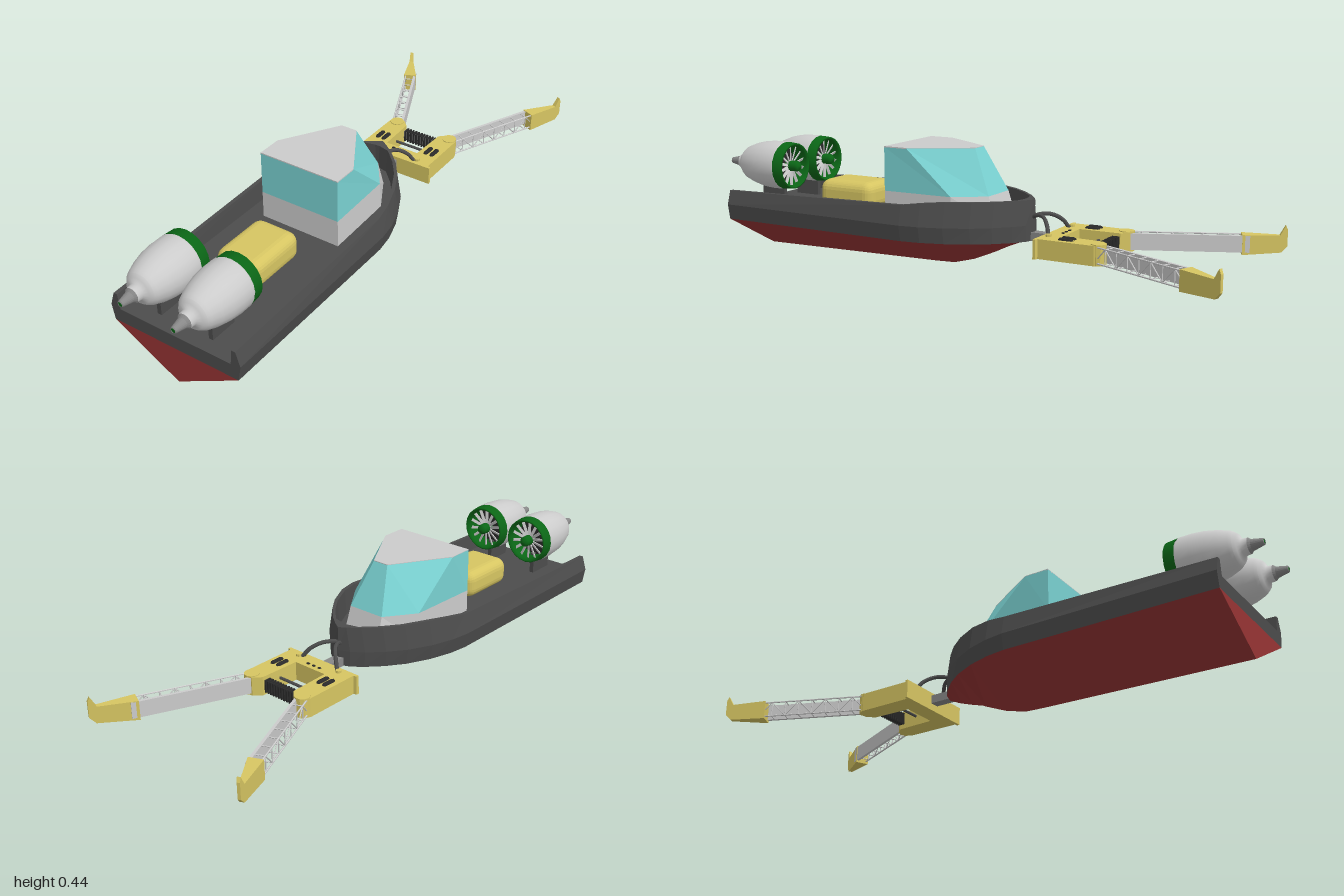
import * as THREE from 'three';
import { RoundedBoxGeometry } from 'three/addons/geometries/RoundedBoxGeometry.js';

const mat = (color, flatShading = true) =>
  new THREE.MeshStandardMaterial({ color, flatShading, side: THREE.DoubleSide });
const M = {
  grey: mat(0xcccccc), smoothGrey: mat(0xcccccc, false), dark: mat(0x4c4c4c), red: mat(0x973434),
  teal: mat(0x7ad2d2), yellow: mat(0xd6c562), green: mat(0x0b6616, false), steel: mat(0x888888), black: mat(0x2a2a2a),
};

function add(parent, name, geo, material, x = 0, y = 0, z = 0) {
  const m = new THREE.Mesh(geo, material);
  m.name = name;
  m.position.set(x, y, z);
  parent.add(m);
  return m;
}
const box = (w, h, d) => new THREE.BoxGeometry(w, h, d);

// Skin closed rings of [x, y, z]; cap the first ring, flattened by project
function loft(rings, project) {
  const pos = [];
  const tri = (...pts) => pts.forEach((p) => pos.push(...p));
  for (let i = 0; i < rings.length - 1; i++) {
    const n = rings[i].length;
    for (let j = 0; j < n; j++) {
      const a = rings[i][j], b = rings[i][(j + 1) % n], c = rings[i + 1][(j + 1) % n], d = rings[i + 1][j];
      tri(a, d, c);
      tri(a, c, b);
    }
  }
  if (project) {
    const flat = rings[0].map((p) => new THREE.Vector2(...project(p)));
    for (const f of THREE.ShapeUtils.triangulateShape(flat, [])) tri(...f.map((k) => rings[0][k]));
  }
  const g = new THREE.BufferGeometry();
  g.setAttribute('position', new THREE.Float32BufferAttribute(pos, 3));
  g.computeVertexNormals();
  return g;
}

// Round bar between two points
function bar(parent, name, a, b, r, material) {
  const path = new THREE.LineCurve3(new THREE.Vector3(...a), new THREE.Vector3(...b));
  return add(parent, name, new THREE.TubeGeometry(path, 1, r, 6), material);
}

function hull() {
  const g = new THREE.Group();
  g.name = 'hull';
  // z, half width, keel height, rail height
  const stations = [
    [0.9, 0.25, 0.002, 0.24], [0.15, 0.25, 0.017, 0.258], [0.08, 0.24, 0.02, 0.268], [0, 0.215, 0.042, 0.275],
    [-0.08, 0.175, 0.076, 0.275], [-0.14, 0.13, 0.105, 0.275], [-0.19, 0.08, 0.126, 0.275],
    [-0.22, 0.04, 0.133, 0.275], [-0.235, 0, 0.135, 0.275],
  ];
  const xy = (p) => [p[0], p[1]];
  const bottom = stations.map(([z, w, k]) => [[0, k, z], [w * 0.96, 0.135, z], [-w * 0.96, 0.135, z]]);
  add(g, 'lowerHull', loft(bottom, xy), M.red);
  const upper = stations.map(([z, w, , rail]) => {
    const inset = (d) => Math.max(0, w - d);
    const zi = Math.max(z, -0.2);
    const half = [[w * 0.96, 0.135, z], [w, 0.19, z], [inset(0.016), rail, z],
      [inset(0.03), rail, zi], [inset(0.036), 0.185, zi]];
    return [...half, ...half.map(([x, y, zz]) => [-x, y, zz]).reverse()];
  });
  add(g, 'upperHullAndDeck', loft(upper, xy), M.dark);
  return g;
}

function cabin() {
  const g = new THREE.Group();
  g.name = 'cabin';
  const ring = (y, half) => [...half, ...half.map(([x, z]) => [-x, z]).reverse()].map(([x, z]) => [x, y, z]);
  const roof = [[0.152, 0.27], [0.152, 0.18], [0.03, -0.02]];
  const sill = [[0.152, 0.27], [0.145, 0.01], [0.07, -0.095]];
  const foot = [[0.152, 0.27], [0.145, 0.0], [0.075, -0.125]];
  const top = (p) => [p[0], -p[2]];
  add(g, 'windows', loft([ring(0.436, roof), ring(0.283, sill)]), M.teal);
  add(g, 'cabinBase', loft([ring(0.283, sill), ring(0.185, foot)], top), M.grey);
  add(g, 'roof', loft([ring(0.438, roof), ring(0.434, roof)], top), M.grey);
  return g;
}

function engine(x) {
  const g = new THREE.Group();
  g.name = 'engine';
  g.position.set(x, 0.327, 0);
  const turn = (name, profile, material) => add(g, name,
    new THREE.LatheGeometry(profile.map(([r, z]) => new THREE.Vector2(r, z)), 20).rotateX(Math.PI / 2), material);
  turn('intakeRing', [[0.07, 0.77], [0.073, 0.71], [0.078, 0.7], [0.084, 0.702], [0.087, 0.74]], M.green);
  turn('nacelle', [[0.084, 0.738], [0.088, 0.745], [0.088, 0.79], [0.084, 0.83], [0.075, 0.87], [0.062, 0.905],
    [0.055, 0.915]], M.smoothGrey);
  turn('tailCone', [[0.055, 0.915], [0.046, 0.925], [0.028, 0.932], [0.026, 0.952]], M.smoothGrey);
  turn('nozzle', [[0.026, 0.952], [0.019, 0.96], [0.011, 0.998], [0.008, 1]], M.steel);
  turn('nozzleCore', [[0.009, 0.998], [0, 0.999]], M.green);
  turn('intakeBack', [[0.075, 0.765], [0, 0.765]], M.black);
  turn('fanHub', [[0, 0.68], [0.013, 0.683], [0.019, 0.692], [0.02, 0.735]], M.green);
  for (let i = 0; i < 14; i++) {
    const blade = box(0.011, 0.056, 0.003).rotateY(0.5).translate(0, 0.045, 0.722).rotateZ((i * Math.PI) / 7);
    add(g, 'fanBlade', blade, M.grey);
  }
  add(g, 'pylon', box(0.016, 0.08, 0.1), M.dark, 0, -0.103, 0.8);
  return g;
}

function gripperArm(s) {
  const g = new THREE.Group();
  g.name = s > 0 ? 'leftArm' : 'rightArm';
  g.position.set(s * 0.115, 0, -0.52);
  g.rotation.y = -s * 0.42;
  add(g, 'pivot', new THREE.CylinderGeometry(0.026, 0.026, 0.068, 12), M.yellow, 0, 0.145, 0);
  add(g, 'innerPanel', box(0.01, 0.056, 0.4), M.grey, -s * 0.018, 0.145, -0.2);
  // Open lattice on the outer side, tied to the panel by rungs
  const xo = s * 0.018, xi = -s * 0.018, n = 8;
  for (const y of [0.119, 0.171]) {
    bar(g, 'chord', [xo, y, 0], [xo, y, -0.4], 0.003, M.grey);
    for (let i = 0; i <= n; i++) bar(g, 'rung', [xi, y, -i * 0.05], [xo, y, -i * 0.05], 0.002, M.grey);
  }
  for (let i = 0; i < n; i++) {
    const up = i % 2 ? 0.171 : 0.119;
    bar(g, 'upright', [xo, 0.119, -i * 0.05], [xo, 0.171, -i * 0.05], 0.002, M.grey);
    bar(g, 'brace', [xo, up, -i * 0.05], [xo, 0.29 - up, -(i + 1) * 0.05], 0.002, M.grey);
  }
  // Claw: side profile with a raised tooth, narrowing to its tip
  const side = new THREE.Shape([[0.375, 0.109], [0.505, 0.114], [0.525, 0.135], [0.525, 0.19], [0.518, 0.205],
    [0.5, 0.172], [0.375, 0.176]].map((p) => new THREE.Vector2(...p)));
  const claw = new THREE.ExtrudeGeometry(side, { depth: 0.05, bevelEnabled: false });
  claw.translate(0, 0, -0.025).rotateY(Math.PI / 2);
  const p = claw.attributes.position;
  for (let i = 0; i < p.count; i++) {
    const t = Math.max(0, (-p.getZ(i) - 0.375) / 0.15);
    p.setX(i, p.getX(i) * (1 - 0.8 * t) + s * 0.012 * t);
  }
  claw.computeVertexNormals();
  add(g, 'claw', claw, M.yellow);
  return g;
}

function gripper() {
  const g = new THREE.Group();
  g.name = 'gripper';
  // U-shaped frame, open to the tip side
  const half = [[0.155, 0.305], [0.155, 0.315], [0.143, 0.317], [0.143, 0.515], [0.13, 0.54], [0.095, 0.54],
    [0.07, 0.515], [0.065, 0.37]];
  const outline = [...half, ...half.map(([x, y]) => [-x, y]).reverse()].map((q) => new THREE.Vector2(...q));
  const frame = new THREE.ExtrudeGeometry(new THREE.Shape(outline), { depth: 0.066, bevelEnabled: false });
  add(g, 'frame', frame.rotateX(-Math.PI / 2), M.yellow, 0, 0.11, 0);
  add(g, 'towBar', box(0.035, 0.03, 0.13), M.steel, 0, 0.15, -0.255);
  bar(g, 'crossRod', [-0.07, 0.145, -0.44], [0.07, 0.145, -0.44], 0.005, M.dark);
  add(g, 'springCore', box(0.14, 0.03, 0.012), M.steel, 0, 0.145, -0.502);
  for (let i = -5; i <= 5; i++) add(g, 'springCoil', box(0.006, 0.044, 0.026), M.black, i * 0.012, 0.145, -0.502);
  for (const x of [-0.025, 0, 0.025]) add(g, 'bolt', box(0.01, 0.004, 0.008), M.black, x, 0.177, -0.352);
  for (const s of [-1, 1]) {
    for (const x of [0.092, 0.117]) {
      const slot = new THREE.CapsuleGeometry(0.009, 0.035, 3, 8).rotateX(Math.PI / 2);
      add(g, 'slot', slot, M.black, s * x, 0.175, -0.405);
    }
    add(g, 'rearBolt', new THREE.CylinderGeometry(0.01, 0.01, 0.01, 8), M.yellow, s * 0.09, 0.179, -0.33);
    const hose = new THREE.CatmullRomCurve3([[0, 0.195, -0.2], [s * 0.008, 0.222, -0.24], [s * 0.03, 0.225, -0.28],
      [s * 0.06, 0.203, -0.31], [s * 0.08, 0.172, -0.325]].map((q) => new THREE.Vector3(...q)));
    add(g, 'hose', new THREE.TubeGeometry(hose, 16, 0.007, 8), M.dark);
    g.add(gripperArm(s));
  }
  return g;
}

export function createModel() {
  const model = new THREE.Group();
  model.name = 'gripperBoat';
  model.add(hull(), cabin(), engine(0.1), engine(-0.1), gripper());
  add(model, 'deckPod', new RoundedBoxGeometry(0.17, 0.1, 0.23, 3, 0.035), M.yellow, 0, 0.235, 0.495);
  return model;
}
